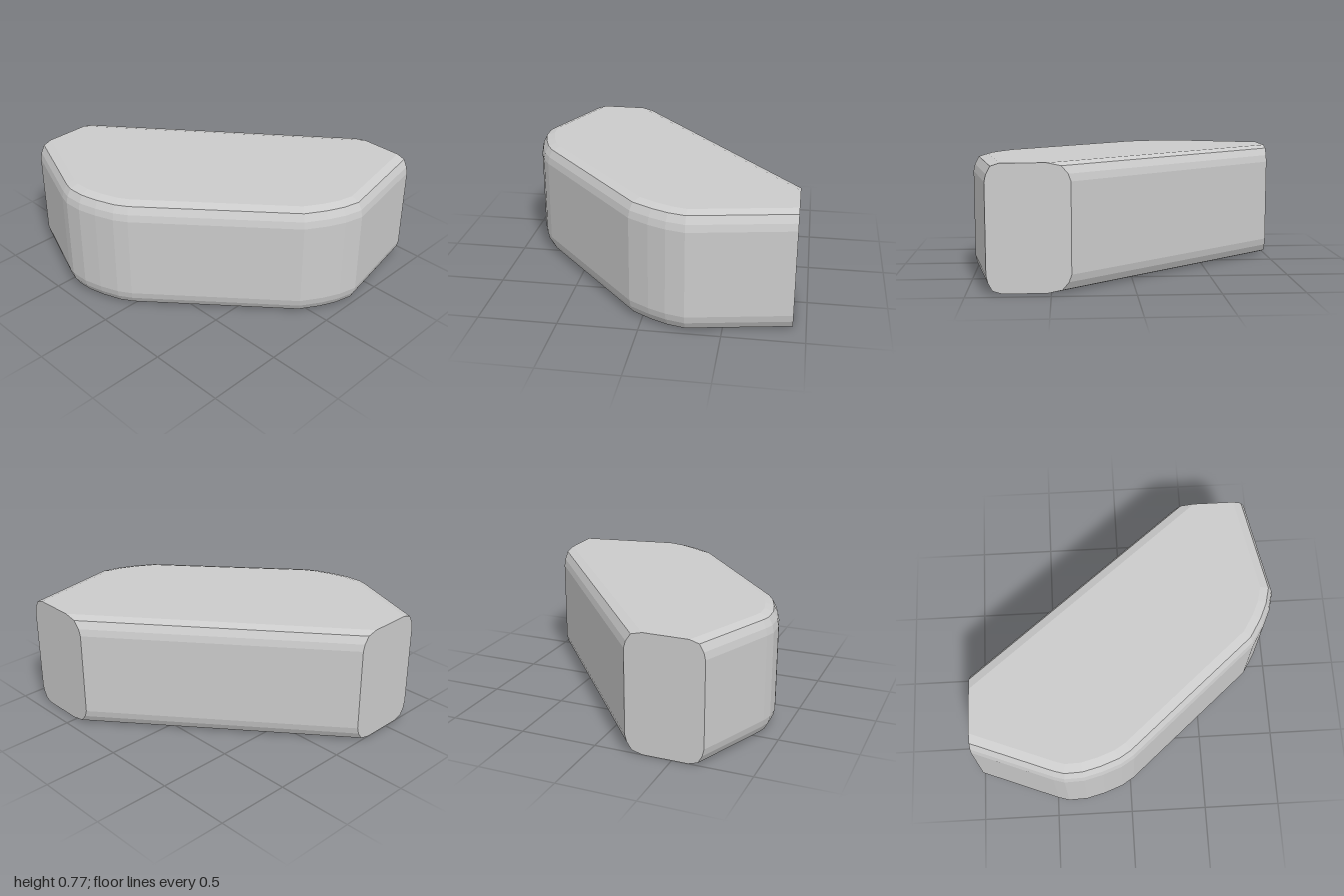
import * as THREE from 'three';
import { ConvexGeometry } from 'three/addons/geometries/ConvexGeometry.js';

const HEIGHT = 0.77;

// Plan outline [x, z]; the edge leaving each point is a straight cut when flagged 1
const OUTLINE = [
  [-1, 0.2], [0.38, -0.92, 1], [0.88, -0.92], [1, -0.28], [0.97, -0.16],
  [0.92, -0.05], [0.84, 0.08], [0.02, 0.79], [-0.06, 0.84], [-0.18, 0.885],
  [-0.3, 0.916], [-0.42, 0.92], [-0.49, 0.9], [-1, 0.7, 1],
];

// Edge rounding: [inset from the outline, distance from the top or bottom face]
const ROUNDING = [[0.09, 0], [0.035, 0.018], [0.01, 0.065], [0, 0.11]];

// Edge i as a line n.p = c, moved inward by d unless it is a cut
function edgeLine(i, d) {
  const a = OUTLINE[i], b = OUTLINE[(i + 1) % OUTLINE.length];
  const dx = b[0] - a[0], dz = b[1] - a[1], len = Math.hypot(dx, dz);
  const nx = -dz / len, nz = dx / len;
  return [nx, nz, nx * a[0] + nz * a[1] + (a[2] ? 0 : d)];
}

// Outline with all rounded edges moved inward by d
function insetOutline(d) {
  const n = OUTLINE.length;
  return OUTLINE.map((_, i) => {
    const [ax, az, ac] = edgeLine((i + n - 1) % n, d);
    const [bx, bz, bc] = edgeLine(i, d);
    const det = ax * bz - az * bx;
    return [(ac * bz - az * bc) / det, (ax * bc - ac * bx) / det];
  });
}

export function createModel() {
  const group = new THREE.Group();
  group.name = 'cutBlock';

  // Stack the inset outlines, mirrored between bottom and top, and wrap them
  const points = [];
  for (const [inset, y] of ROUNDING) {
    for (const [x, z] of insetOutline(inset)) {
      points.push(new THREE.Vector3(x, y, z), new THREE.Vector3(x, HEIGHT - y, z));
    }
  }
  const block = new THREE.Mesh(
    new ConvexGeometry(points),
    new THREE.MeshStandardMaterial({ color: 0xcccccc, flatShading: true })
  );
  block.name = 'roundedBlock';
  group.add(block);
  return group;
}
